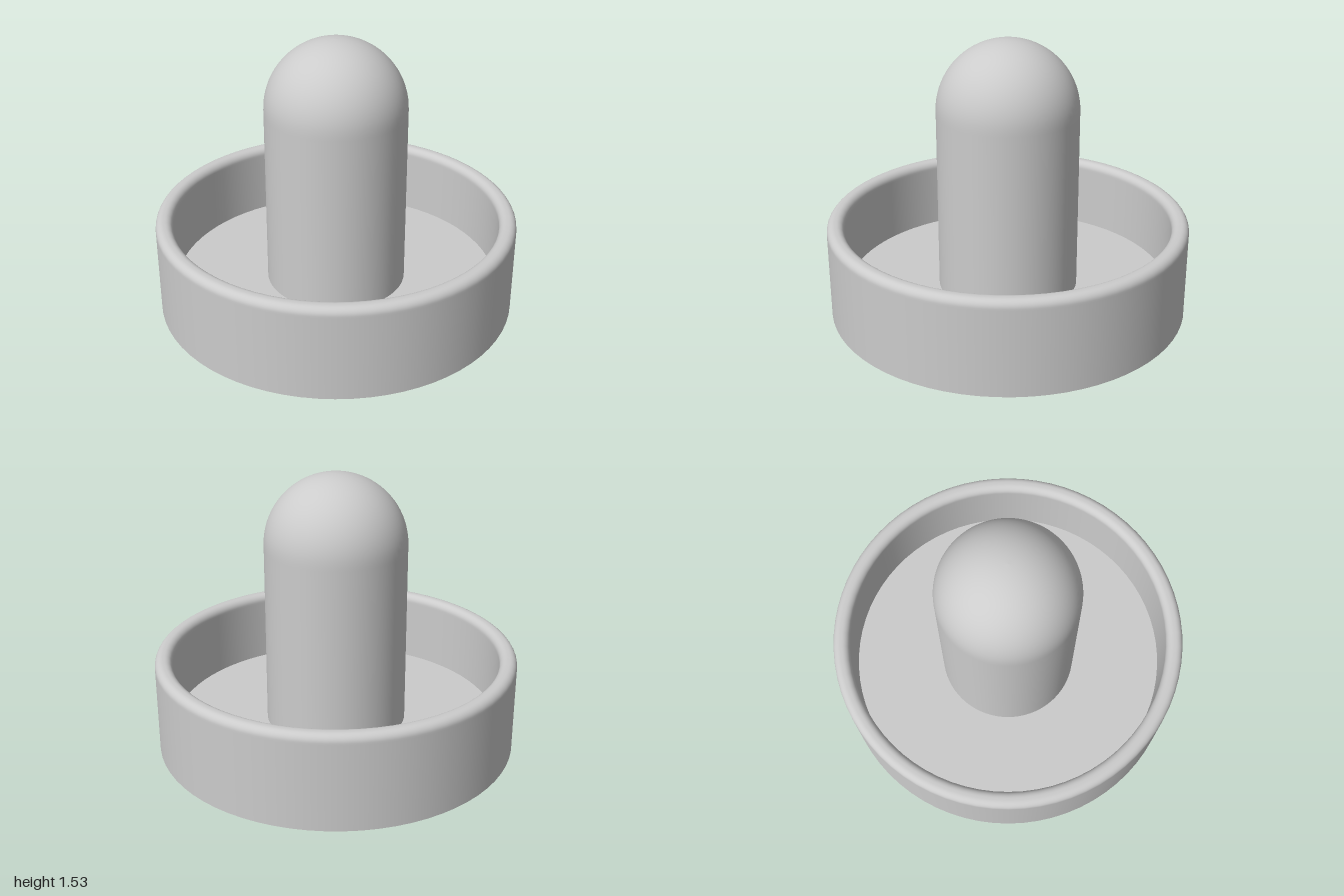
import * as THREE from 'three';

const material = new THREE.MeshStandardMaterial({ color: 0xcccccc });
const SEGMENTS = 72;

// Revolves [radius, height] pairs around the y axis
function revolve(name, points) {
  const profile = points.map(([r, y]) => new THREE.Vector2(r, y));
  const mesh = new THREE.Mesh(new THREE.LatheGeometry(profile, SEGMENTS), material);
  mesh.name = name;
  return mesh;
}

// Points along a circular arc in the profile plane
function arc(cx, cy, r, from, to, steps) {
  return Array.from({ length: steps + 1 }, (_, i) => {
    const a = from + (to - from) * i / steps;
    return [Math.max(0, cx + r * Math.cos(a)), cy + r * Math.sin(a)];
  });
}

export function createModel() {
  const group = new THREE.Group();
  const outer = 1, inner = 0.905, top = 0.53, floor = 0.12, round = 0.042;
  const knob = 0.387, domeY = 1.14;

  // Flat underside
  group.add(revolve('underside', [[0, 0], [outer, 0]]));

  // Outer wall, rounded lip and inner wall as one smooth skin
  group.add(revolve('rimWall', [
    [outer, 0],
    [outer, top - round - 0.01],
    ...arc(outer - round, top - round, round, 0, Math.PI / 2, 8),
    ...arc(inner + round, top - round, round, Math.PI / 2, Math.PI, 8),
    [inner, top - round - 0.01],
    [inner, floor],
  ]));

  // Recessed floor of the dish
  group.add(revolve('dishFloor', [[inner, floor], [0, floor]]));

  // Upright grip with a domed end
  group.add(revolve('handle', [
    [knob + 0.003, floor],
    [knob, domeY - 0.02],
    ...arc(0, domeY, knob, 0, Math.PI / 2, 20),
  ]));

  return group;
}
